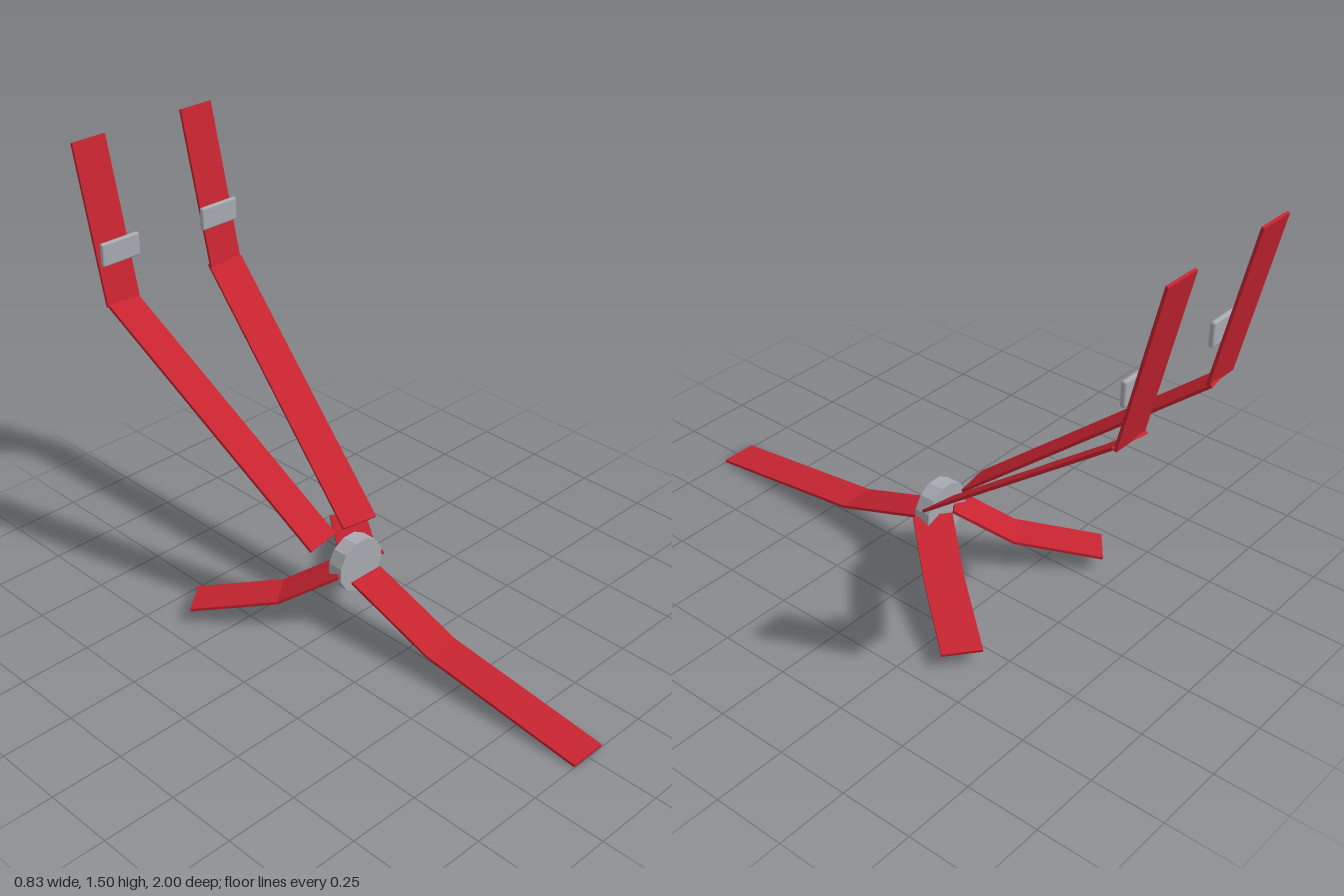
import * as THREE from 'three';
import { RoundedBoxGeometry } from 'three/addons/geometries/RoundedBoxGeometry.js';

const WIDTH = 0.132, THICK = 0.01, OVERLAP = 0.003;

export function createModel() {
  const model = new THREE.Group();
  model.name = 'safetyHarness';
  const webbing = new THREE.MeshStandardMaterial({ name: 'red webbing', color: 0xc62430 });
  const metal = new THREE.MeshStandardMaterial({ name: 'grey metal', color: 0xa8abb1 });

  // A flat strap through the given points, its width kept horizontal
  function strap(name, points) {
    const group = new THREE.Group();
    group.name = name;
    const pts = points.map((p) => new THREE.Vector3(...p));
    for (let i = 0; i < pts.length - 1; i++) {
      const a = pts[i].clone(), b = pts[i + 1].clone();
      const dir = b.clone().sub(a).normalize();
      if (i > 0) a.addScaledVector(dir, -OVERLAP);
      if (i < pts.length - 2) b.addScaledVector(dir, OVERLAP);
      const side = new THREE.Vector3(0, 1, 0).cross(dir).normalize();
      const normal = dir.clone().cross(side);
      const mesh = new THREE.Mesh(new THREE.BoxGeometry(WIDTH, THICK, a.distanceTo(b)), webbing);
      mesh.name = name + 'Section';
      mesh.quaternion.setFromRotationMatrix(new THREE.Matrix4().makeBasis(side, normal, dir));
      mesh.position.copy(a).add(b).multiplyScalar(0.5);
      group.add(mesh);
    }
    model.add(group);
  }

  // Strap between the legs
  strap('crotchStrap', [[0, 0.198, 0.052], [0, 0.08, 0.395], [0, 0.007, 0.999]]);

  for (const [s, label] of [[1, 'left'], [-1, 'right']]) {
    // Shoulder strap, bending upwards at the back
    strap(label + 'ShoulderStrap', [[0.085 * s, 0.311, -0.062], [0.225 * s, 0.966, -0.87], [0.225 * s, 1.503, -0.993]]);

    // Lap strap, sweeping out and down
    strap(label + 'LapStrap', [[0.055 * s, 0.226, -0.01], [0.18 * s, 0.108, -0.17], [0.365 * s, 0.053, -0.403]]);

    // Length adjuster in front of the shoulder strap
    const adjuster = new THREE.Mesh(new RoundedBoxGeometry(0.155, 0.082, 0.018, 2, 0.007), metal);
    adjuster.name = label + 'Adjuster';
    adjuster.position.set(0.213 * s, 1.145, -0.881);
    model.add(adjuster);
  }

  // Central release buckle, a faceted disc facing forward
  const disc = new THREE.CylinderGeometry(0.097, 0.097, 0.056, 12).toNonIndexed();
  disc.rotateY(Math.PI / 12).rotateX(Math.PI / 2);
  disc.computeVertexNormals();
  const buckle = new THREE.Mesh(disc, metal);
  buckle.name = 'buckle';
  buckle.position.set(0, 0.228, 0.002);
  model.add(buckle);

  return model;
}
